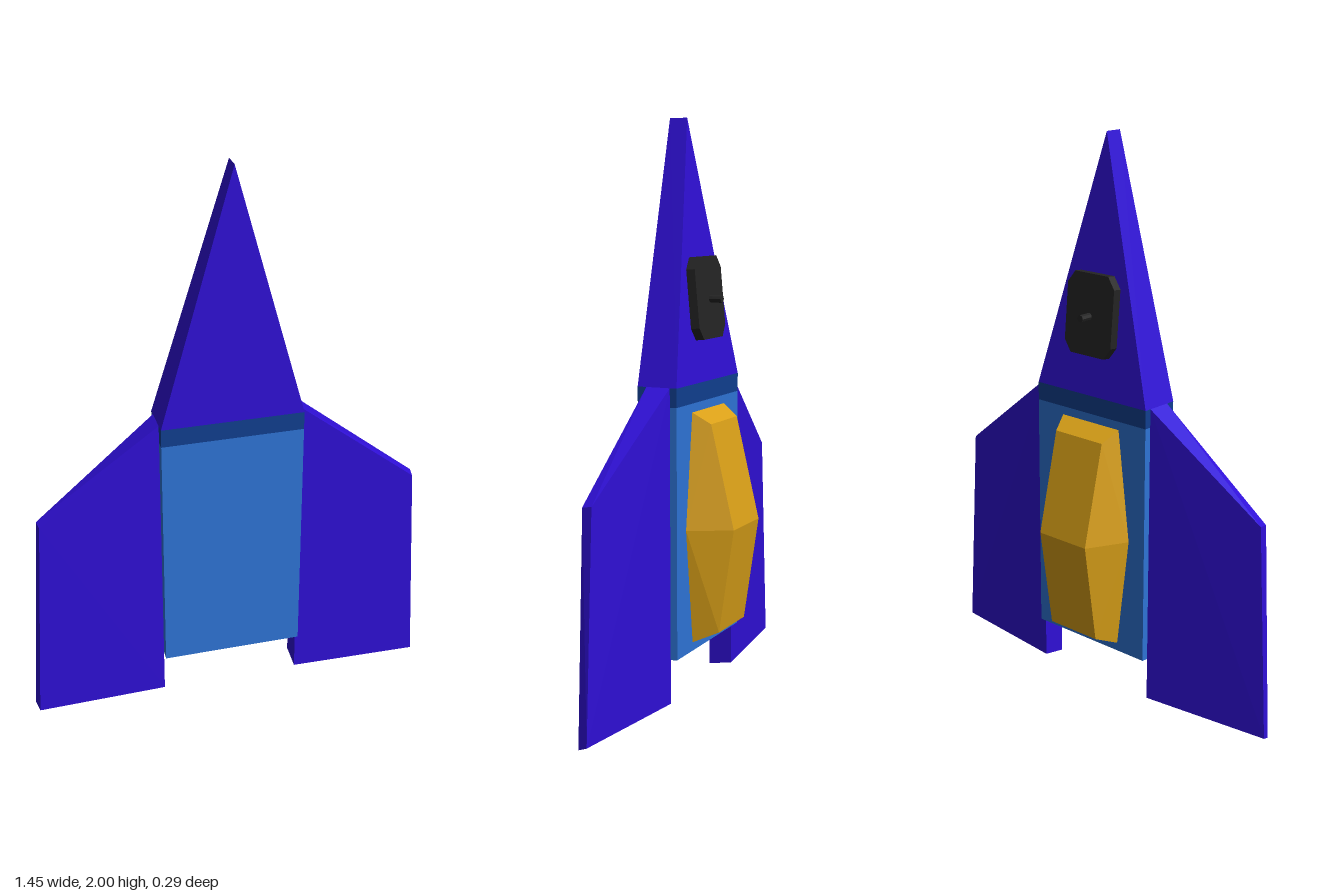
import * as THREE from 'three';
import { ConvexGeometry } from 'three/addons/geometries/ConvexGeometry.js';

const paint = (color) => new THREE.MeshStandardMaterial({ color, flatShading: true });
const indigo = paint(0x2f0fd6), blue = paint(0x2e74d6), navy = paint(0x103f90);
const gold = paint(0xd9a018), black = paint(0x242424);

// Flat-faced solid spanned by its corners
function solid(name, corners, material) {
  const points = corners.map((c) => new THREE.Vector3(...c));
  const mesh = new THREE.Mesh(new ConvexGeometry(points), material);
  mesh.name = name;
  return mesh;
}

// Adds the mirror image of each corner across x = 0
const mirrored = (corners) => corners.flatMap(([x, y, z]) => (x ? [[x, y, z], [-x, y, z]] : [[x, y, z]]));

export function createModel() {
  const ship = new THREE.Group();
  ship.name = 'spacecraft';

  // Fuselage, collar and tapering nose share one cross-section
  ship.add(solid('fuselage', mirrored([
    [0.25, 0.16, 0.145], [0.25, 0.175, 0], [0.25, 1.04, 0.145], [0.25, 1.04, 0],
  ]), blue));
  ship.add(solid('collar', mirrored([
    [0.25, 1.04, 0.145], [0.25, 1.04, 0], [0.25, 1.105, 0.145], [0.25, 1.105, 0],
  ]), navy));
  ship.add(solid('nose', mirrored([
    [0.25, 1.105, 0.145], [0.25, 1.105, 0], [0, 2, 0.145], [0, 2, 0.08],
  ]), indigo));

  // Wings: thick at the root, thin at the tip
  for (const [name, s] of [['leftWing', 1], ['rightWing', -1]]) {
    ship.add(solid(name, [
      [0.25, 1.105, 0.112], [0.25, 1.105, 0.025], [0.25, 0.003, 0.112], [0.25, 0.018, 0.025],
      [0.672, 0.775, 0.12], [0.677, 0.78, 0.084], [0.715, 0, 0.12], [0.725, 0.015, 0.084],
    ].map(([x, y, z]) => [x * s, y, z]), indigo));
  }

  // Faceted canopy on the back of the fuselage
  ship.add(solid('canopy', mirrored([
    [0.13, 1.01, 0], [0.18, 0.61, 0], [0.13, 0.205, 0],
    [0.107, 0.97, -0.06], [0.107, 0.61, -0.145], [0.107, 0.245, -0.09],
  ]), gold));

  // Chamfered hatch lying on the nose slope
  const outline = [[0.105, 0.1], [0.075, 0.141], [0.105, -0.1], [0.075, -0.141]];
  const hatch = solid('hatchPlate', mirrored(
    outline.flatMap(([x, y]) => [[x, y, 0.016], [x, y, -0.016]])), black);
  hatch.position.set(0, 1.392, 0.009);
  hatch.rotation.x = Math.atan2(0.08, 0.895);
  ship.add(hatch);

  // Small peg at the hatch centre
  const peg = new THREE.Mesh(new THREE.CylinderGeometry(0.013, 0.013, 0.055, 8), black);
  peg.name = 'hatchPeg';
  peg.rotation.x = Math.PI / 2;
  peg.position.set(0, 1.388, -0.0245);
  ship.add(peg);

  return ship;
}
